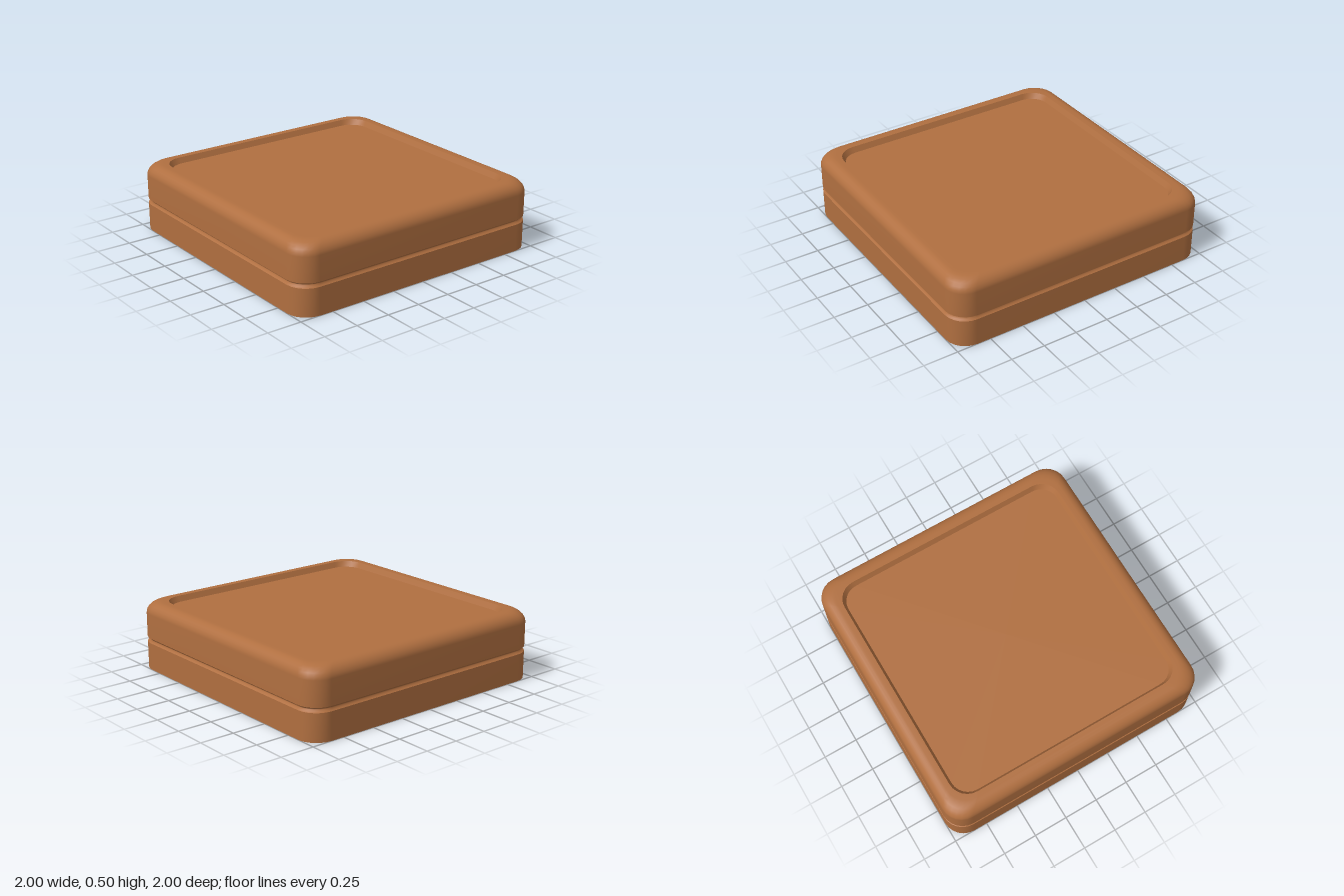
import * as THREE from 'three';

const CORNER_STEPS = 6;

// Rounded-square ring of points: half width, height, corner radius
function ring([half, y, r]) {
  const pts = [];
  for (let c = 0; c < 4; c++) {
    const mid = Math.PI / 4 + c * Math.PI / 2;
    const cx = Math.sign(Math.cos(mid)) * (half - r);
    const cz = Math.sign(Math.sin(mid)) * (half - r);
    for (let i = 0; i <= CORNER_STEPS; i++) {
      const a = (c + i / CORNER_STEPS) * Math.PI / 2;
      pts.push(cx + r * Math.cos(a), y, cz + r * Math.sin(a));
    }
  }
  return pts;
}

// Skin between consecutive rings, smooth within one call
function loft(rows) {
  const n = 4 * (CORNER_STEPS + 1);
  const index = [];
  for (let k = 0; k < rows.length - 1; k++) {
    for (let i = 0; i < n; i++) {
      const j = (i + 1) % n;
      const a = k * n + i, b = k * n + j, c = a + n, d = b + n;
      index.push(a, c, b, b, c, d);
    }
  }
  return finish(rows.flatMap(ring), index);
}

// Flat rounded-square panel facing up
function panel(row) {
  const pos = [0, row[1], 0, ...ring(row)];
  const n = pos.length / 3 - 1;
  const index = [];
  for (let i = 0; i < n; i++) index.push(0, 1 + (i + 1) % n, 1 + i);
  return finish(pos, index);
}

function finish(positions, index) {
  const g = new THREE.BufferGeometry();
  g.setAttribute('position', new THREE.Float32BufferAttribute(positions, 3));
  g.setIndex(index);
  g.computeVertexNormals();
  return g;
}

export function createModel() {
  const group = new THREE.Group();
  group.name = 'squareTray';
  const brown = new THREE.MeshStandardMaterial({ color: 0xb06f40, side: THREE.DoubleSide });
  brown.name = 'warm brown';

  const add = (name, geometry) => {
    const mesh = new THREE.Mesh(geometry, brown);
    mesh.name = name;
    group.add(mesh);
  };

  // Open-bottomed base wall
  add('baseWall', loft([[1, 0, 0.15], [1, 0.2, 0.15]]));

  // Seam groove around the sides
  add('seamGroove', loft([
    [1, 0.2, 0.15], [0.992, 0.207, 0.15], [0.986, 0.217, 0.15],
    [0.986, 0.224, 0.15], [1, 0.235, 0.15],
  ]));

  // Upper wall rolling over into the flat rim
  const fillet = 0.085;
  const upper = [[1, 0.235, 0.15]];
  for (let i = 0; i <= 6; i++) {
    const a = i / 6 * Math.PI / 2;
    upper.push([1 - fillet * (1 - Math.cos(a)), 0.5 - fillet * (1 - Math.sin(a)), 0.15]);
  }
  upper.push([0.88, 0.5, 0.14]);
  add('upperRim', loft(upper));

  // Shallow recess in the top
  add('recessWall', loft([[0.88, 0.5, 0.14], [0.86, 0.46, 0.13]]));
  add('recessFloor', panel([0.86, 0.46, 0.13]));

  return group;
}
